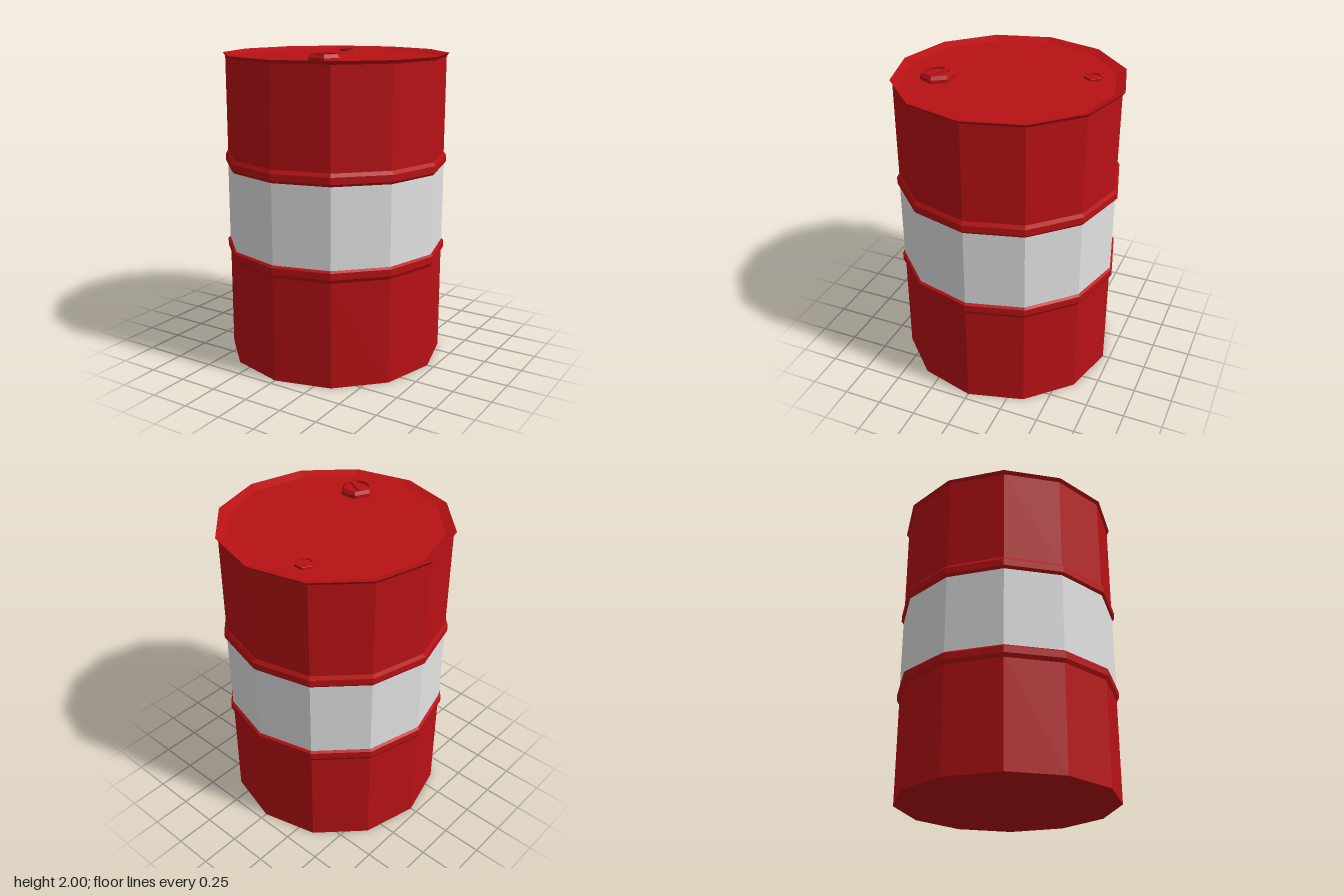
import * as THREE from 'three';

const SIDES = 12;
const LID_Y = 1.957;

// Faceted solid of revolution; profile runs bottom to top so faces point outward
function facetedLathe(profile, sides) {
  const pts = profile.map(([r, y]) => new THREE.Vector2(r, y));
  const geo = new THREE.LatheGeometry(pts, sides).toNonIndexed();
  geo.computeVertexNormals();
  return geo;
}

function addMesh(parent, name, geo, mat) {
  const mesh = new THREE.Mesh(geo, mat);
  mesh.name = name;
  parent.add(mesh);
  return mesh;
}

// Hexagonal plug with a shallow round recess in its top
function makePlug(name, mat, { r, rTop, hole, shoulder, height, depth }) {
  const plug = new THREE.Group();
  plug.name = name;

  const side = facetedLathe([[r, 0], [r, shoulder], [rTop, height]], 6);
  side.rotateY(Math.PI / 6);
  addMesh(plug, name + 'Side', side, mat);

  const hex = new THREE.Shape();
  for (let i = 0; i < 6; i++) {
    const a = i * Math.PI / 3;
    hex[i ? 'lineTo' : 'moveTo'](rTop * Math.cos(a), rTop * Math.sin(a));
  }
  hex.closePath();
  hex.holes.push(new THREE.Path().absarc(0, 0, hole, 0, Math.PI * 2, true));
  const face = new THREE.ShapeGeometry(hex, 10);
  face.rotateX(-Math.PI / 2).translate(0, height, 0);
  addMesh(plug, name + 'Top', face, mat);

  // Recess wall and floor, running down and inward
  const recess = facetedLathe([[hole, height], [hole, height - depth], [0, height - depth]], 20);
  addMesh(plug, name + 'Recess', recess, mat);
  return plug;
}

export function createModel() {
  const red = new THREE.MeshStandardMaterial({ color: 0xb81114 });
  red.name = 'barrel red';
  const white = new THREE.MeshStandardMaterial({ color: 0xe2e2e2 });
  white.name = 'band white';

  const barrel = new THREE.Group();
  barrel.name = 'barrel';

  // Drum shell: closed bottom, pale middle band, flared rim with a dished lid
  addMesh(barrel, 'lowerBody', facetedLathe([[0, 0], [0.705, 0], [0.705, 0.69]], SIDES), red);
  addMesh(barrel, 'middleBand', facetedLathe([[0.707, 0.74], [0.707, 1.275]], SIDES), white);
  addMesh(barrel, 'upperBodyAndLid', facetedLathe([
    [0.705, 1.33], [0.705, LID_Y], [0.721, 1.978], [0.66, LID_Y], [0, LID_Y],
  ], SIDES), red);

  // Raised rolling hoops
  const hoops = { lowerHoop: [0.677, 0.7, 0.743, 0.755], upperHoop: [1.262, 1.278, 1.32, 1.342] };
  for (const [name, [a, b, c, d]] of Object.entries(hoops)) {
    addMesh(barrel, name, facetedLathe([[0.7, a], [0.708, a], [0.721, b], [0.721, c], [0.708, d], [0.7, d]], SIDES), red);
  }

  // Large filler plug with a grip bar across its recess
  const filler = makePlug('fillerPlug', red, {
    r: 0.105, rTop: 0.09, hole: 0.075, shoulder: 0.022, height: 0.043, depth: 0.015,
  });
  filler.position.set(0.173, LID_Y, 0.4);
  filler.rotation.y = 0.06;
  const bar = addMesh(filler, 'fillerGrip', new THREE.BoxGeometry(0.148, 0.014, 0.028), red);
  bar.position.y = 0.0355;
  bar.rotation.y = -0.54;
  barrel.add(filler);

  // Small vent plug
  const vent = makePlug('ventPlug', red, {
    r: 0.06, rTop: 0.058, hole: 0.043, shoulder: 0.012, height: 0.014, depth: 0.008,
  });
  vent.position.set(-0.195, LID_Y, -0.467);
  barrel.add(vent);

  return barrel;
}
